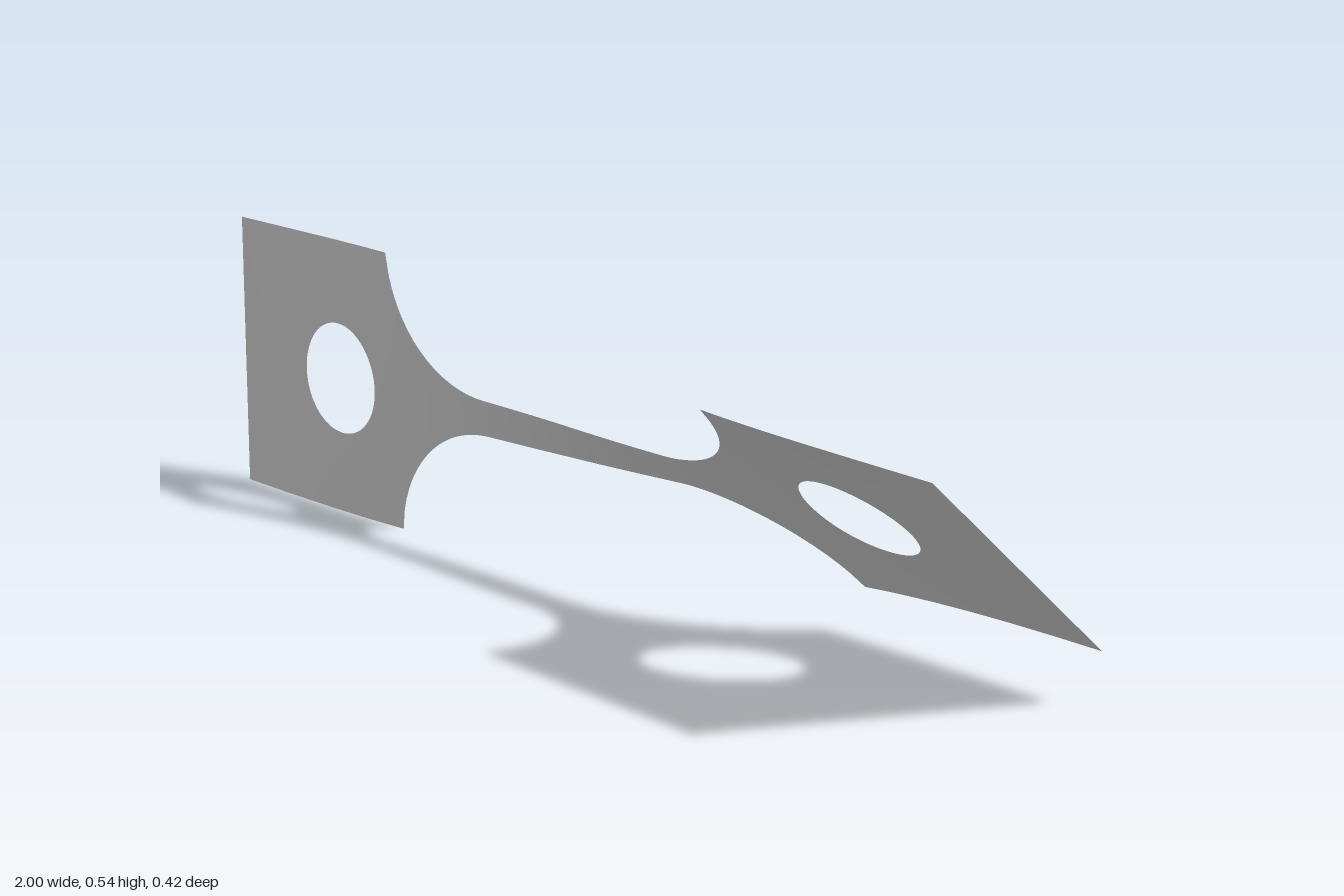
import * as THREE from 'three';
import { mergeGeometries, mergeVertices } from 'three/addons/utils/BufferGeometryUtils.js';

const HALF = 0.2715;      // half width of the end pads, also height of the axis
const NECK = 0.036;       // half width of the neck
const CORNER = 0.51;      // where a pad meets its fillet
const FILLET = 0.273;     // fillet radius
const FILLET_START = 0.24;
const HOLE_R = 0.109;
const ROWS = 24;

// Half width of the flat blank at x
function halfWidth(x) {
  const a = Math.abs(x);
  if (a >= CORNER - 1e-6) return HALF;
  if (a <= FILLET_START) return NECK;
  const d = a - FILLET_START;
  return NECK + FILLET - Math.sqrt(FILLET * FILLET - d * d);
}

// Twist the flat point (x, v) about the long axis, with a slight bow in the pads
function twist(x, v) {
  const angle = THREE.MathUtils.degToRad(25 + 25 * Math.tanh(2.45 * x) / Math.tanh(2.45));
  const along = -Math.sign(x) * Math.sin(Math.PI * Math.pow(Math.abs(x), 1.6));
  const bow = along * (0.004 + 0.006 * (1 - (v / HALF) ** 2));
  const s = Math.sin(angle), c = Math.cos(angle);
  return [x, HALF + v * c - bow * s, v * s + bow * c];
}

// Grid between the curves lo(x) and hi(x)
function strip(xs, lo, hi, rows) {
  const pos = [], index = [];
  xs.forEach((x, i) => {
    for (let j = 0; j <= rows; j++) {
      pos.push(...twist(x, THREE.MathUtils.lerp(lo(x), hi(x), j / rows)));
      if (i && j) {
        const d = i * (rows + 1) + j, b = d - rows - 1;
        index.push(b - 1, d - 1, d, b - 1, d, b);
      }
    }
  });
  const g = new THREE.BufferGeometry();
  g.setAttribute('position', new THREE.Float32BufferAttribute(pos, 3));
  g.setIndex(index);
  return g;
}

function range(a, b, n) {
  return Array.from({ length: n + 1 }, (_, i) => a + (b - a) * i / n);
}

export function createModel() {
  const group = new THREE.Group();
  group.name = 'twistedTestStrip';
  const steel = new THREE.MeshStandardMaterial({ color: 0xc8c8c8, side: THREE.DoubleSide });
  steel.name = 'grey steel';

  const top = x => halfWidth(x), bottom = x => -halfWidth(x);

  // Neck with its four fillets
  const parts = [strip(range(-CORNER, CORNER, 120), bottom, top, ROWS)];

  // End pads, each in four strips around a round hole
  for (const [cx, x0, x1] of [[-0.673, -1, -CORNER], [0.667, CORNER, 1]]) {
    const around = range(0, Math.PI, 40).map(t => cx - HOLE_R * Math.cos(t));
    const hole = x => Math.sqrt(Math.max(0, HOLE_R ** 2 - (x - cx) ** 2));
    parts.push(
      strip(range(x0, cx - HOLE_R, 12), bottom, top, ROWS),
      strip(around, bottom, x => -hole(x), ROWS / 2),
      strip(around, hole, top, ROWS / 2),
      strip(range(cx + HOLE_R, x1, 12), bottom, top, ROWS)
    );
  }

  // Weld the strips so the sheet shades smoothly
  const geometry = mergeVertices(mergeGeometries(parts), 1e-5);
  geometry.computeVertexNormals();
  const sheet = new THREE.Mesh(geometry, steel);
  sheet.name = 'twistedSheet';
  group.add(sheet);
  return group;
}
